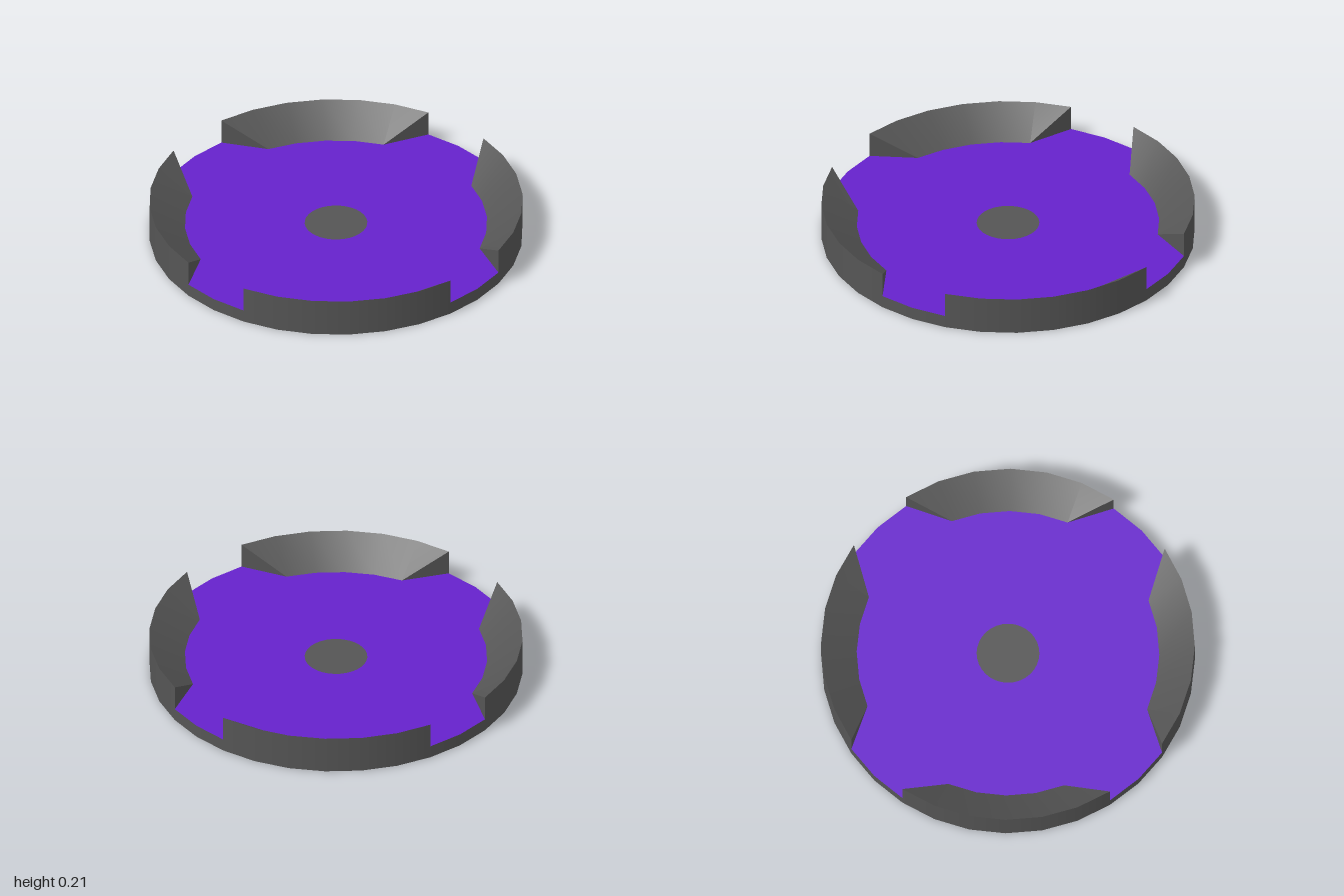
import * as THREE from 'three';

const SIDES = 32, STEP = (Math.PI * 2) / SIDES;
const FLOOR = 0.07, TOP = 0.21, INNER = 0.81, HUB = 0.168;

const ringPoint = (j, r, y) => [r * Math.sin(j * STEP), y, r * Math.cos(j * STEP)];

function surface(points, index) {
  const g = new THREE.BufferGeometry();
  g.setAttribute('position', new THREE.Float32BufferAttribute(points.flat(), 3));
  g.setIndex(index);
  g.computeVertexNormals();
  return g;
}

// Sloped inner side of a rim block; the inner arc is one step shorter at each end
function slopeGeometry() {
  const points = [], index = [];
  for (let j = 1; j <= 7; j++) {
    const inner = Math.min(Math.max(j, 2), 6);
    points.push(ringPoint(j, 1, TOP), ringPoint(inner, INNER, FLOOR));
    if (j === 7) break;
    const o = (j - 1) * 2;
    index.push(o, o + 2, o + 1);
    if (j > 1 && j < 6) index.push(o + 1, o + 2, o + 3);
  }
  return surface(points, index);
}

// Triangular end faces of a rim block
function endsGeometry() {
  return surface([
    ringPoint(1, 1, FLOOR), ringPoint(1, 1, TOP), ringPoint(2, INNER, FLOOR),
    ringPoint(7, 1, FLOOR), ringPoint(6, INNER, FLOOR), ringPoint(7, 1, TOP),
  ], [0, 1, 2, 3, 4, 5]);
}

export function createModel() {
  const model = new THREE.Group();
  model.name = 'rimmedDisc';
  const grey = new THREE.MeshStandardMaterial({ color: 0x555555 });
  const purple = new THREE.MeshStandardMaterial({ color: 0x6622cc });

  const add = (parent, name, geometry, material) => {
    const mesh = new THREE.Mesh(geometry, material);
    mesh.name = name;
    parent.add(mesh);
    return mesh;
  };

  // Base disc: side wall, underside, coloured floor and centre spot
  add(model, 'baseWall', new THREE.CylinderGeometry(1, 1, FLOOR, SIDES, 1, true), grey).position.y = FLOOR / 2;
  add(model, 'underside', new THREE.CircleGeometry(1, SIDES).rotateX(Math.PI / 2), grey);
  add(model, 'floor', new THREE.RingGeometry(HUB, 1, SIDES).rotateX(-Math.PI / 2), purple).position.y = FLOOR;
  add(model, 'centreSpot', new THREE.CircleGeometry(HUB, SIDES).rotateX(-Math.PI / 2), grey).position.y = FLOOR;

  // Four raised rim blocks, with gaps between them
  const wall = new THREE.CylinderGeometry(1, 1, TOP - FLOOR, 6, 1, true, STEP, STEP * 6);
  wall.translate(0, (TOP + FLOOR) / 2, 0);
  const slope = slopeGeometry(), ends = endsGeometry();
  for (let i = 0; i < 4; i++) {
    const block = new THREE.Group();
    block.name = `rimBlock${i + 1}`;
    block.rotation.y = (i * Math.PI) / 2;
    add(block, 'outerWall', wall, grey);
    add(block, 'innerSlope', slope, grey);
    add(block, 'endFaces', ends, grey);
    model.add(block);
  }
  return model;
}
